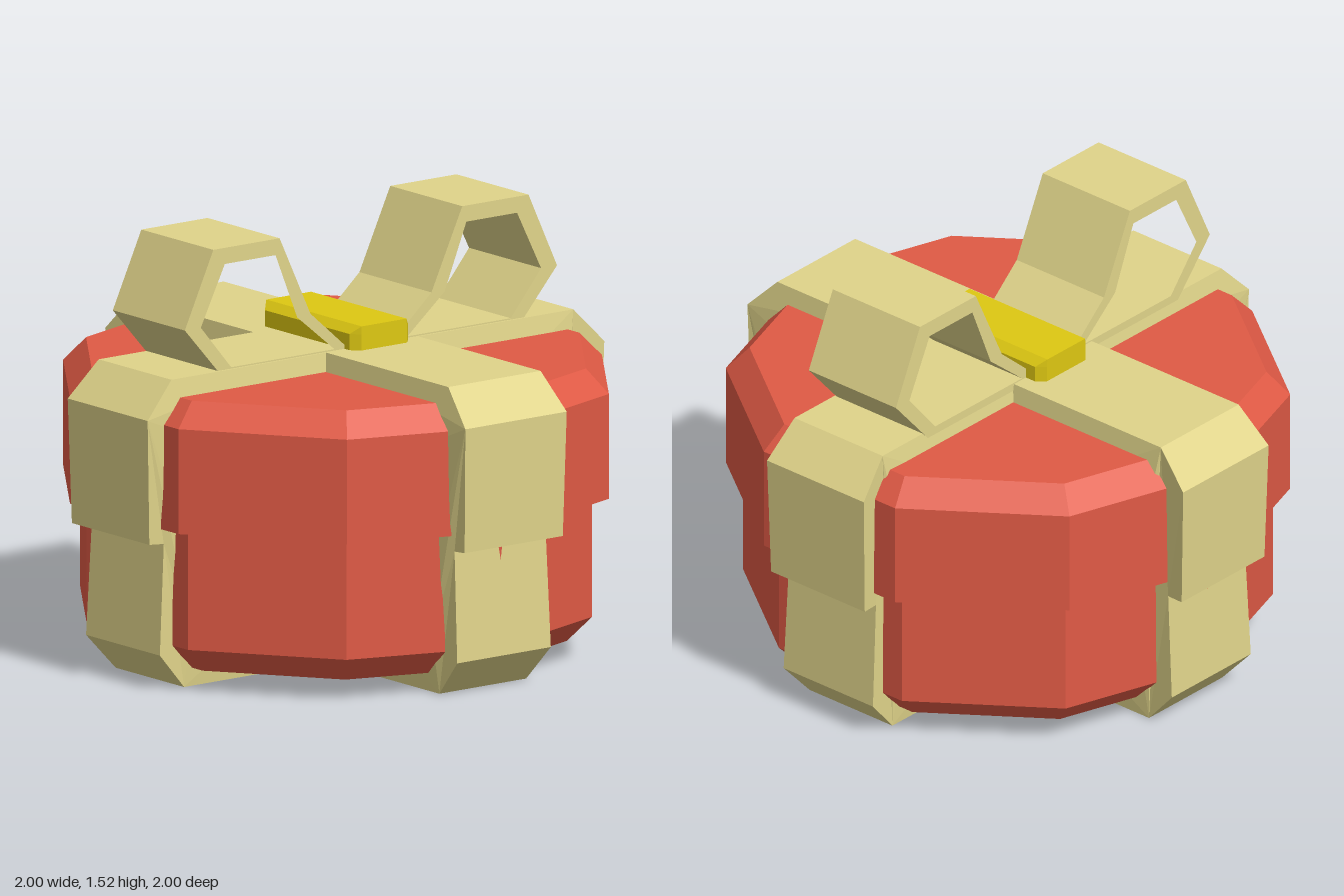
import * as THREE from 'three';
import { ConvexGeometry } from 'three/addons/geometries/ConvexGeometry.js';

const mat = (name, color) => {
  const m = new THREE.MeshStandardMaterial({ color, flatShading: true });
  m.name = name;
  return m;
};

const shapeOf = (pts) => new THREE.Shape(pts.map(([x, y]) => new THREE.Vector2(x, y)));

// Closed band: outline with a hole, extruded and centred on z
function bandGeometry(outer, inner, width) {
  const shape = shapeOf(outer);
  shape.holes.push(new THREE.Path(inner.map(([x, y]) => new THREE.Vector2(x, y))));
  const geo = new THREE.ExtrudeGeometry(shape, { depth: width, bevelEnabled: false });
  return geo.translate(0, 0, -width / 2);
}

// Half width of the wrapping ribbon at each height
const WIDTHS = [[0, 0.19], [0.13, 0.205], [0.52, 0.2], [0.53, 0.215], [0.97, 0.222], [1.095, 0.202]];
function halfWidth(y) {
  for (let i = 1; i < WIDTHS.length; i++) {
    const [y0, w0] = WIDTHS[i - 1], [y1, w1] = WIDTHS[i];
    if (y <= y1) return THREE.MathUtils.lerp(w0, w1, (y - y0) / (y1 - y0));
  }
  return 0.202;
}

function wrapGeometry() {
  const side = [[0.815, 0], [0.933, 0.13], [0.912, 0.52], [0.987, 0.53], [1, 0.97], [0.88, 1.095]];
  const outer = [...side, ...side.map(([x, y]) => [-x, y]).reverse()];
  const inner = outer.map(([x, y]) => [x * 0.85, 0.55 + (y - 0.55) * 0.85]);
  const geo = bandGeometry(outer, inner, 0.4);
  const p = geo.attributes.position;
  for (let i = 0; i < p.count; i++) p.setZ(i, Math.sign(p.getZ(i)) * halfWidth(p.getY(i)));
  geo.computeVertexNormals();
  return geo;
}

export function createModel() {
  const group = new THREE.Group();
  const red = mat('red card', 0xe05a45);
  const cream = mat('cream ribbon', 0xe0d48a);
  const gold = mat('gold knot', 0xdec812);
  const add = (name, geo, material) => {
    const mesh = new THREE.Mesh(geo, material);
    mesh.name = name;
    group.add(mesh);
    return mesh;
  };
  const lathe = (pts) => new THREE.LatheGeometry(pts.map(([r, y]) => new THREE.Vector2(r, y)), 10);

  // Ten-sided box and its wider lid
  add('box', lathe([[0, 0.065], [0.825, 0.065], [0.915, 0.155], [0.915, 0.58], [0, 0.58]]), red);
  add('lid', lathe([[0, 0.575], [0.975, 0.575], [0.975, 0.945], [0.893, 1.03], [0, 1.03]]), red);

  // Two crossing ribbons
  add('ribbonAcross', wrapGeometry(), cream);
  add('ribbonFrontToBack', wrapGeometry().rotateY(Math.PI / 2), cream);

  // Bow loops, mirrored left and right
  const loopOuter = [[0.06, 1.06], [0.64, 1.06], [0.815, 1.258], [0.69, 1.525], [0.4, 1.525], [0.265, 1.24]];
  const loopInner = [[0.16, 1.1], [0.612, 1.1], [0.745, 1.258], [0.64, 1.468], [0.418, 1.468], [0.323, 1.235]];
  for (const [name, s] of [['leftBowLoop', 1], ['rightBowLoop', -1]]) {
    const flip = ([x, y]) => [x * s, y];
    const loop = add(name, bandGeometry(loopOuter.map(flip), loopInner.map(flip), 0.4), cream);
    loop.position.z = -0.006;
  }

  // Knot: block with cut corners and bevelled long top edges
  const pts = [];
  for (const sx of [-1, 1]) for (const sz of [-1, 1]) {
    for (const y of [1.06, 1.152]) {
      pts.push(new THREE.Vector3(sx * 0.128, y, sz * 0.235), new THREE.Vector3(sx * 0.1, y, sz * 0.265));
    }
    pts.push(new THREE.Vector3(sx * 0.098, 1.18, sz * 0.265));
  }
  add('knot', new ConvexGeometry(pts), gold).position.set(0.012, 0, -0.013);

  return group;
}
